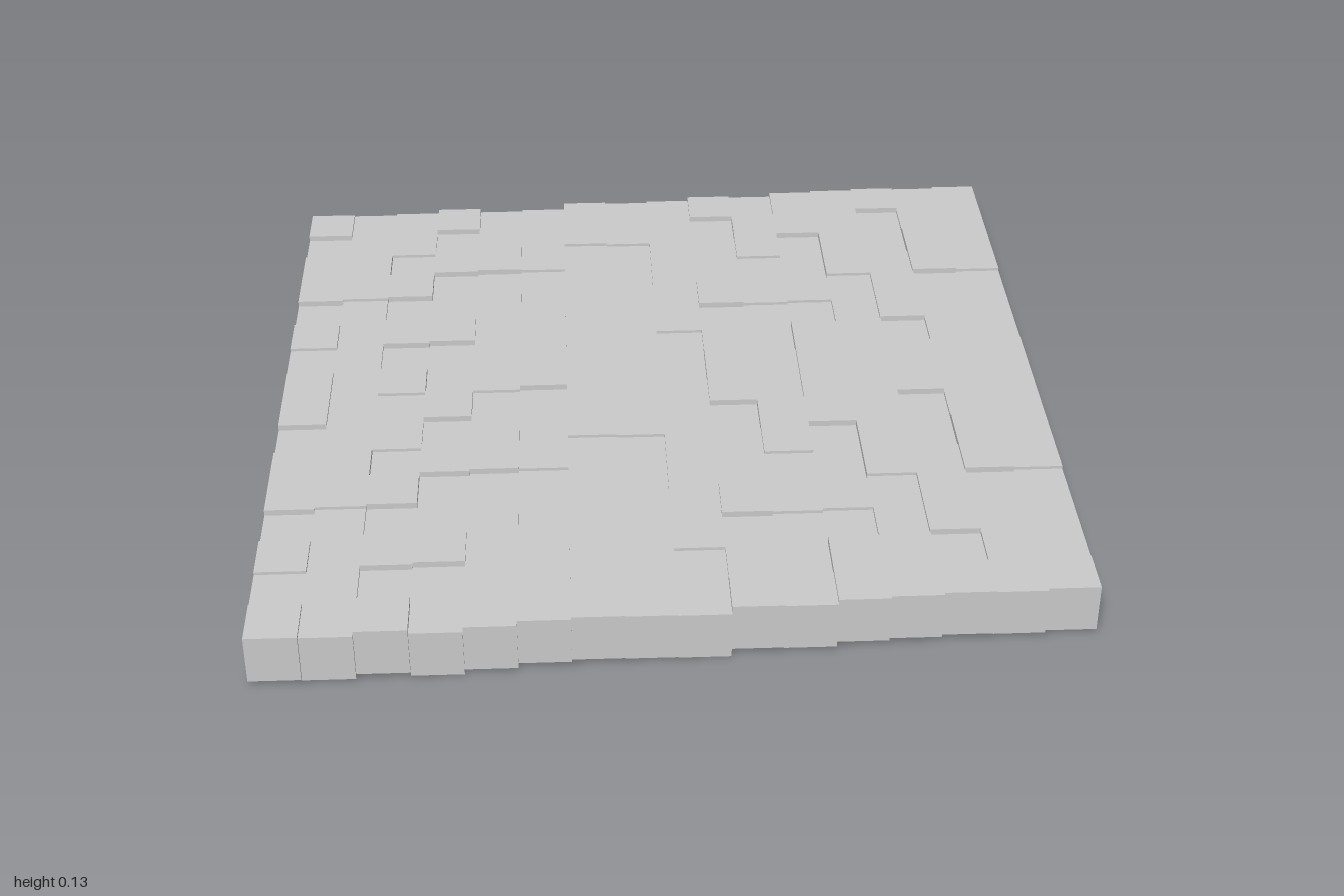
import * as THREE from 'three';

const COUNT = 16;
const SIZE = 1.885 / COUNT;  // edge of one cube
const STEP = 0.0074;         // height of one level, and z slip between columns

// Raised level (0 to 2) of the cubes of each column, back to front, repeated twice
const LEVELS = [
  '20220212', '11221111', '11020202', '20200200',
  '02201111', '01100222', '22111112', '11001111',
  '11111100', '20112012', '12211001', '22001022',
  '22221122', '20012202', '11220111', '11110001',
];

export function createModel() {
  const floor = new THREE.Group();
  floor.name = 'blockFloor';
  const material = new THREE.MeshStandardMaterial({ color: 0xcccccc, flatShading: true });
  const cube = new THREE.BoxGeometry(SIZE, SIZE, SIZE);
  const mid = (COUNT - 1) / 2;

  // Each column of cubes slips slightly backwards from its left neighbour
  LEVELS.forEach((levels, i) => {
    const column = new THREE.Group();
    column.name = `blockColumn${i + 1}`;
    column.position.set((i - mid) * SIZE, 0, (mid - i) * STEP);
    for (let j = 0; j < COUNT; j++) {
      const block = new THREE.Mesh(cube, material);
      block.name = 'block';
      block.position.set(0, SIZE / 2 + Number(levels[j % levels.length]) * STEP, (j - mid) * SIZE);
      column.add(block);
    }
    floor.add(column);
  });
  return floor;
}
